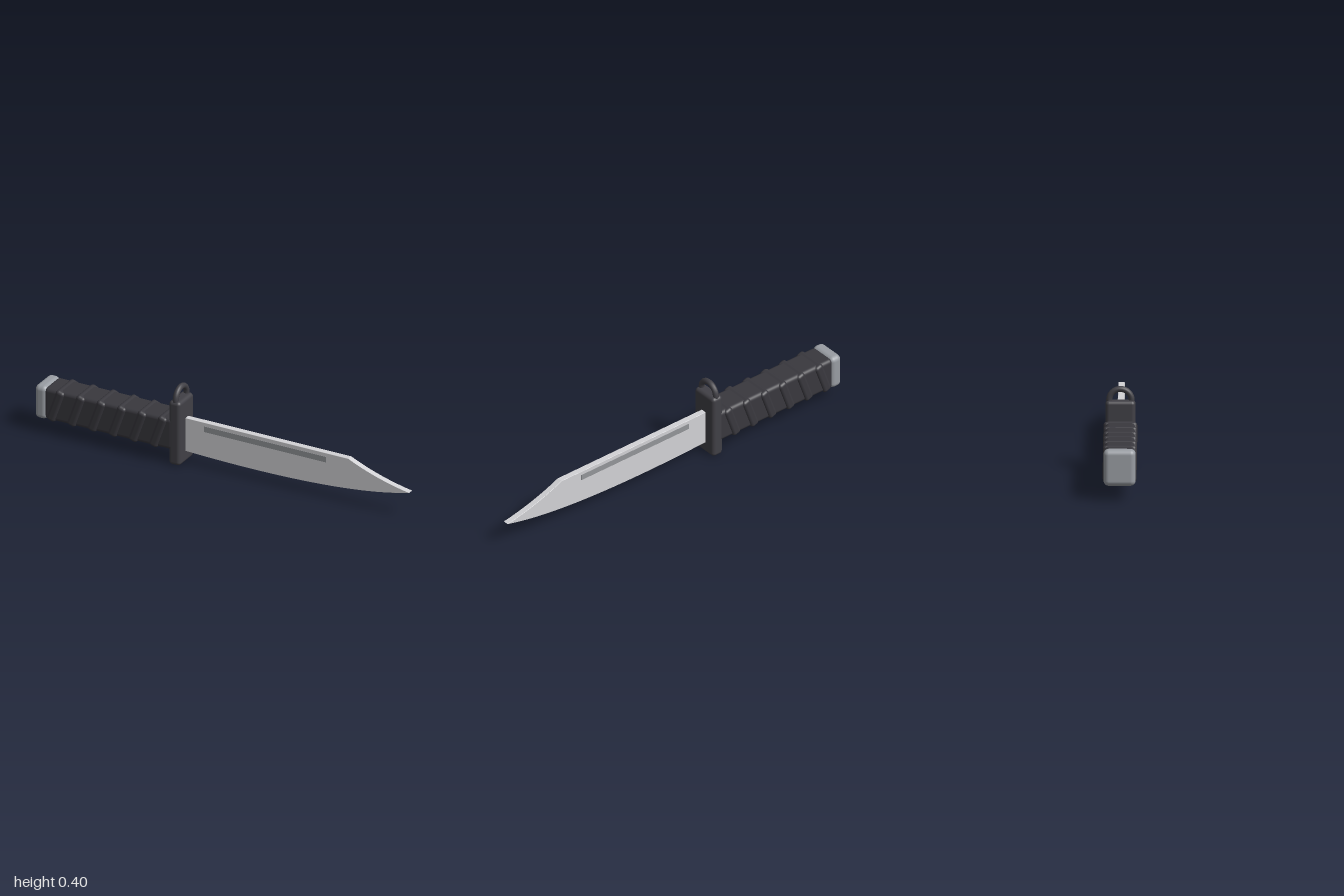
import * as THREE from 'three';
import { RoundedBoxGeometry } from 'three/addons/geometries/RoundedBoxGeometry.js';

const material = (name, color) => {
  const m = new THREE.MeshStandardMaterial({ color });
  m.name = name;
  return m;
};

export function createModel() {
  const model = new THREE.Group();
  model.name = 'knife';
  const gripBlack = material('grip black', 0x39383e);
  const guardBlack = material('guard black', 0x414046);
  const steel = material('blade steel', 0xd3d3d6);
  const darkSteel = material('groove steel', 0x94969a);
  const pommelGrey = material('pommel grey', 0x999da3);

  const add = (name, geometry, mat, x, y, z = 0) => {
    const mesh = new THREE.Mesh(geometry, mat);
    mesh.name = name;
    mesh.position.set(x, y, z);
    model.add(mesh);
    return mesh;
  };

  // Handle: core, end cap and slanted ribs
  add('grip', new RoundedBoxGeometry(0.7, 0.165, 0.142, 4, 0.02), gripBlack, -0.6, 0.158);
  add('pommel', new RoundedBoxGeometry(0.066, 0.175, 0.152, 4, 0.025), pommelGrey, -0.967, 0.158);
  const ribGeometry = new RoundedBoxGeometry(0.048, 0.175, 0.16, 4, 0.016);
  for (let i = 0; i < 6; i++) {
    const rib = add('gripRib', ribGeometry, gripBlack, -0.886 + i * 0.111, 0.158);
    rib.rotation.z = -0.34;
  }

  // Guard with a ring on top
  add('guard', new RoundedBoxGeometry(0.062, 0.335, 0.142, 4, 0.018), guardBlack, -0.244, 0.1675);
  const ring = add('guardRing', new THREE.TorusGeometry(0.053, 0.0145, 12, 40), guardBlack, -0.244, 0.336);
  ring.rotation.y = Math.PI / 2;

  // Clip-point blade
  const outline = new THREE.Shape();
  outline.moveTo(-0.24, 0.062);
  outline.bezierCurveTo(0.2, 0.043, 0.7, 0.05, 1.0, 0.134);
  outline.quadraticCurveTo(0.82, 0.165, 0.67, 0.235);
  outline.lineTo(-0.24, 0.235);
  outline.closePath();
  const blade = new THREE.ExtrudeGeometry(outline, {
    depth: 0.028, curveSegments: 16, bevelEnabled: true,
    bevelThickness: 0.001, bevelSize: 0.001, bevelOffset: -0.001, bevelSegments: 1,
  });
  blade.translate(0, 0, -0.014);
  add('blade', blade, steel, 0, 0);

  // Groove strip on each face of the blade
  for (const side of [1, -1]) {
    add('groove', new THREE.BoxGeometry(0.66, 0.029, 0.004), darkSteel, 0.22, 0.201, side * 0.0145);
  }
  return model;
}
